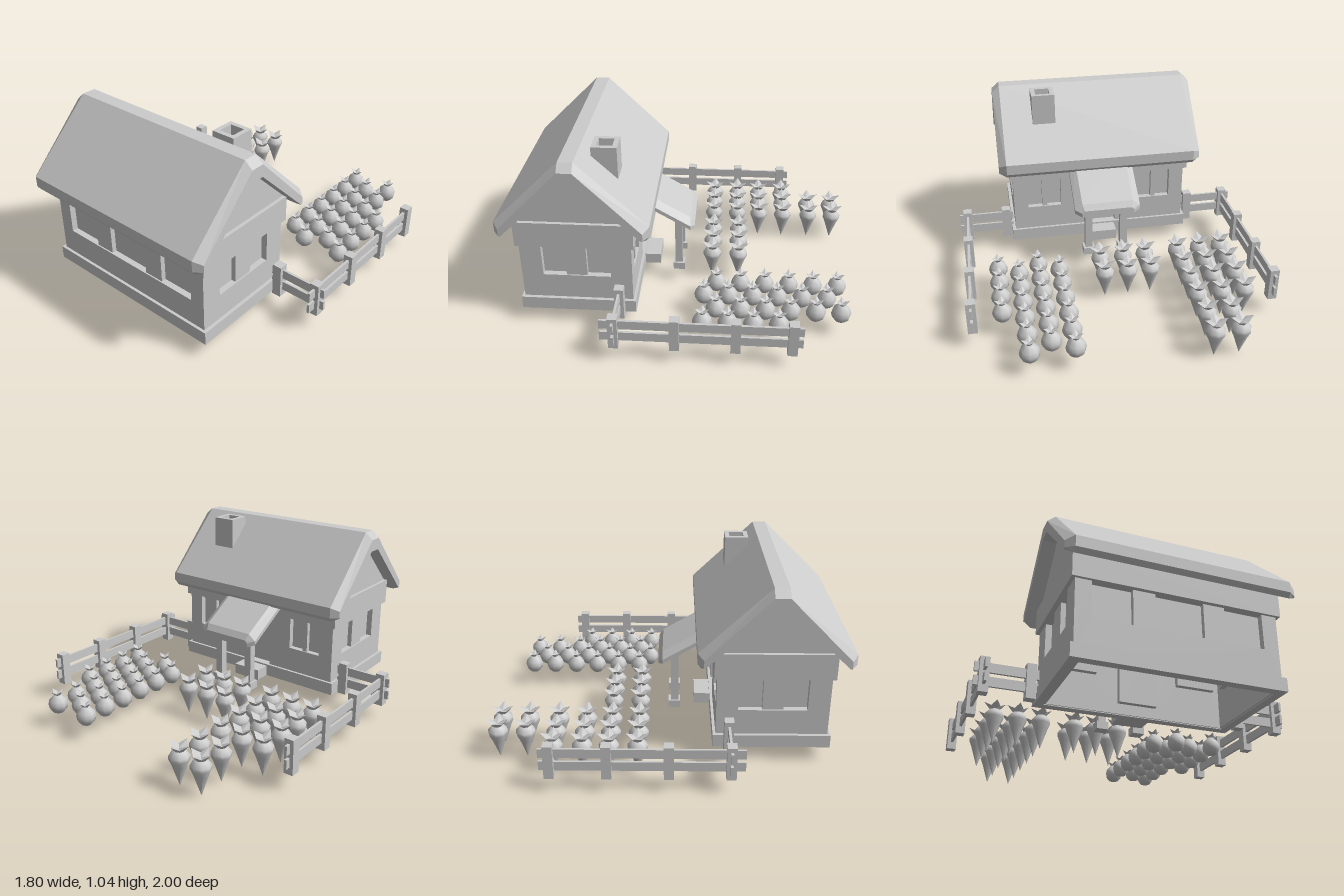
import * as THREE from 'three';

const mat = new THREE.MeshStandardMaterial({ color: 0xcccccc, flatShading: true, side: THREE.DoubleSide });
const smooth = new THREE.MeshStandardMaterial({ color: 0xcccccc, side: THREE.DoubleSide });
const MID = 0.58; // z of the house centre and ridge

function add(parent, name, geo, x = 0, y = 0, z = 0, material = mat) {
  const m = new THREE.Mesh(geo, material);
  m.name = name;
  m.position.set(x, y, z);
  parent.add(m);
  return m;
}

// box given by its min and max on each axis
function box(parent, name, x0, x1, y0, y1, z0, z1) {
  return add(parent, name, new THREE.BoxGeometry(x1 - x0, y1 - y0, z1 - z0),
    (x0 + x1) / 2, (y0 + y1) / 2, (z0 + z1) / 2);
}

function rect(Type, x0, x1, y0, y1) {
  return new Type([[x0, y0], [x1, y0], [x1, y1], [x0, y1]].map(p => new THREE.Vector2(...p)));
}

const extrude = (shape, depth) => new THREE.ExtrudeGeometry(shape, { depth, bevelEnabled: false });

// joins equal-length closed loops of Vector3 and caps both ends (flat faces, facing out)
function loft(loops, capFaces) {
  const tris = [];
  const n = loops[0].length;
  for (let i = 0; i + 1 < loops.length; i++) {
    for (let j = 0; j < n; j++) {
      const k = (j + 1) % n, a = loops[i], b = loops[i + 1];
      tris.push([a[j], a[k], b[k]], [a[j], b[k], b[j]]);
    }
  }
  const last = loops[loops.length - 1];
  for (const [a, b, c] of capFaces) {
    tris.push([loops[0][a], loops[0][c], loops[0][b]], [last[a], last[b], last[c]]);
  }
  const volume = tris.reduce((s, [a, b, c]) => s + a.dot(b.clone().cross(c)), 0);
  if (volume < 0) tris.forEach(t => t.reverse());
  const geo = new THREE.BufferGeometry().setFromPoints(tris.flat());
  geo.computeVertexNormals();
  return geo;
}

// wall facing local +z, with recessed windows divided by mullions
function wall(parent, name, width, windows, x, z, turn) {
  const g = new THREE.Group();
  g.name = name;
  const shape = rect(THREE.Shape, -width / 2, width / 2, 0.09, 0.6);
  for (const w of windows) {
    const bottom = w.y ?? 0.31, top = w.top ?? 0.51;
    shape.holes.push(rect(THREE.Path, w.x0, w.x1, bottom, top));
    box(g, w.door ? 'door' : 'windowPane', w.x0 - 0.01, w.x1 + 0.01, bottom - 0.01, top + 0.01, -0.07, -0.035);
    for (const [a, b] of w.bars ?? []) box(g, 'mullion', a, b, bottom, top, -0.04, -0.008);
  }
  add(g, 'wallPanel', extrude(shape, 0.04), 0, 0, -0.04);
  g.position.set(x, 0, z);
  g.rotation.y = turn;
  parent.add(g);
}

// open rectangular ring around the house
function ring(parent, name, hx, hz, t, y0, y1) {
  const s = rect(THREE.Shape, -hx, hx, -hz, hz);
  s.holes.push(rect(THREE.Path, -hx + t, hx - t, -hz + t, hz - t));
  add(parent, name, extrude(s, y1 - y0).rotateX(-Math.PI / 2), 0, y0, MID);
}

function buildHouse() {
  const house = new THREE.Group();
  house.name = 'house';
  ring(house, 'foundation', 0.57, 0.326, 0.05, 0.085, 0.16);
  ring(house, 'eaveBeam', 0.57, 0.326, 0.06, 0.51, 0.66);

  wall(house, 'frontWall', 1.1, [{ x0: -0.465, x1: 0.465, bars: [[-0.25, -0.132], [0.132, 0.25]] }], 0, 0.89, 0);
  for (const s of [-1, 1]) {
    wall(house, s > 0 ? 'leftWall' : 'rightWall', 0.62, [{ x0: -0.19, x1: 0.19, bars: [[-0.058, 0.058]] }],
      s * 0.55, MID, s * Math.PI / 2);
  }
  wall(house, 'backWall', 1.1, [
    { x0: -0.46, x1: -0.25, bars: [[-0.37, -0.34]] },
    { x0: -0.1, x1: 0.1, y: 0.16, top: 0.48, door: true },
    { x0: 0.25, x1: 0.46, bars: [[0.34, 0.37]] },
  ], 0, 0.27, Math.PI);

  // gable infill
  const gable = new THREE.Shape([[-0.33, 0.65], [0.33, 0.65], [0.045, 0.935], [-0.045, 0.935]]
    .map(p => new THREE.Vector2(...p)));
  add(house, 'gable', extrude(gable, 1.1).rotateY(Math.PI / 2), -0.55, 0, MID);

  // chevron roof with bevelled ends: half section as [offset from ridge, height]
  const section = (x, half) => {
    const mirrored = half.map(([z, y]) => [-z, y]).reverse();
    return [...half, ...mirrored].map(([z, y]) => new THREE.Vector3(x, y, MID + z));
  };
  const full = [[0.04, 1.04], [0.418, 0.672], [0.418, 0.61], [0.398, 0.585], [0.04, 0.93]];
  const end = [[0.04, 1.0], [0.385, 0.65], [0.385, 0.61], [0.375, 0.607], [0.04, 0.93]];
  const caps = [[0, 1, 4], [1, 2, 4], [2, 3, 4], [9, 5, 8], [8, 5, 7], [7, 5, 6], [0, 4, 5], [0, 5, 9]];
  add(house, 'roof', loft([section(-0.63, end), section(-0.585, full), section(0.585, full), section(0.63, end)], caps));

  // hollow chimney
  const stack = rect(THREE.Shape, -0.07, 0.07, -0.07, 0.07);
  stack.holes.push(rect(THREE.Path, -0.043, 0.043, -0.043, 0.043));
  add(house, 'chimney', extrude(stack, 0.32).rotateX(-Math.PI / 2), 0.33, 0.715, 0.415);
  box(house, 'chimneyFloor', 0.27, 0.39, 0.9, 0.93, 0.355, 0.475);
  return house;
}

function buildPorch() {
  const porch = new THREE.Group();
  porch.name = 'porch';
  const slice = (z, w, top, drop) => [[-w, -0.035], [-top, -drop], [top, -drop], [w, -0.035], [w, -0.06], [-w, -0.06]]
    .map(([x, y]) => new THREE.Vector3(x, 0.635 - (0.25 - z) * 0.59 + y, z));
  add(porch, 'porchRoof', loft([slice(0.32, 0.2, 0.16, 0), slice(-0.03, 0.2, 0.155, 0), slice(-0.055, 0.16, 0.145, 0.02)],
    [[0, 2, 1], [0, 3, 2], [0, 4, 3], [0, 5, 4]]));
  for (const s of [-1, 1]) {
    box(porch, 'porchPost', s * 0.11 - 0.022, s * 0.11 + 0.022, 0.1, 0.46, 0.02, 0.065);
    box(porch, 'postFoot', s * 0.11 - 0.035, s * 0.11 + 0.035, 0.085, 0.13, 0.005, 0.075);
  }
  box(porch, 'doorstep', -0.09, 0.09, 0.085, 0.15, 0.16, 0.27);
  return porch;
}

function buildFence(s) {
  const fence = new THREE.Group();
  fence.name = s > 0 ? 'leftFence' : 'rightFence';
  const post = new THREE.BoxGeometry(0.053, 0.195, 0.053);
  for (const z of [0.34, 0.015, -0.31, -0.61]) add(fence, 'fencePost', post, s * 0.85, 0.182, z);
  add(fence, 'fencePost', post, s * 0.605, 0.182, 0.34);
  for (const y of [0.152, 0.228]) {
    add(fence, 'sideRail', new THREE.BoxGeometry(0.014, 0.053, 1.08), s * 0.85, y, -0.125);
    add(fence, 'frontRail', new THREE.BoxGeometry(0.34, 0.053, 0.014), s * 0.73, y, 0.34);
  }
  return fence;
}

// four-pointed leaf crown, flaring upwards
function crownGeometry(r, h) {
  const geo = new THREE.CylinderGeometry(r, r * 0.4, h, 8, 1);
  const p = geo.attributes.position;
  for (let i = 0; i < p.count; i++) {
    const x = p.getX(i), z = p.getZ(i);
    if (p.getY(i) < 0) continue;
    const valley = Math.abs(x) > r * 0.1 && Math.abs(z) > r * 0.1;
    if (valley) p.setXYZ(i, x * 0.6, -h * 0.05, z * 0.6);
    else if (Math.hypot(x, z) < r * 0.1) p.setY(i, -h * 0.2);
  }
  geo.computeVertexNormals();
  return geo;
}

function buildCrops() {
  const crops = new THREE.Group();
  crops.name = 'crops';
  const lathe = pts => new THREE.LatheGeometry(pts.map(p => new THREE.Vector2(...p)), 8);
  const carrot = lathe([[0, 0], [0.04, 0.12], [0.055, 0.155], [0.055, 0.175], [0.036, 0.198], [0.02, 0.206], [0, 0.208]]);
  const turnip = lathe([[0, 0.078], [0.03, 0.086], [0.051, 0.11], [0.056, 0.135], [0.049, 0.162], [0.028, 0.183], [0.017, 0.194], [0, 0.195]]);
  const carrotLeaves = crownGeometry(0.063, 0.042);
  const turnipLeaves = crownGeometry(0.04, 0.03);
  const plant = (name, root, leaves, leafY, x, z) => {
    add(crops, name, root, x, 0, z, smooth);
    add(crops, name + 'Leaves', leaves, x, leafY, z);
  };
  const plantCarrot = (x, z) => plant('carrot', carrot, carrotLeaves, 0.222, x, z);
  const plantTurnip = (x, z) => plant('turnip', turnip, turnipLeaves, 0.204, x, z);

  // carrot beds
  [-0.155, -0.31, -0.455, -0.615, -0.785, -0.94].forEach((z, i) => {
    for (const x of i < 4 ? [-0.685, -0.55, -0.41] : [-0.55, -0.41]) plantCarrot(x, z);
  });
  for (const z of [-0.16, -0.32]) for (const x of [-0.205, -0.07, 0.07]) plantCarrot(x, z);

  // staggered turnip bed
  [[0.325, -0.195, 6], [0.445, -0.125, 6], [0.565, -0.195, 6], [0.685, -0.125, 4]].forEach(([x, z, n]) => {
    for (let i = 0; i < n; i++) plantTurnip(x, z - i * 0.14);
  });
  return crops;
}

export function createModel() {
  const model = new THREE.Group();
  model.name = 'farmCottage';
  model.add(buildHouse(), buildPorch(), buildFence(-1), buildFence(1), buildCrops());
  return model;
}
